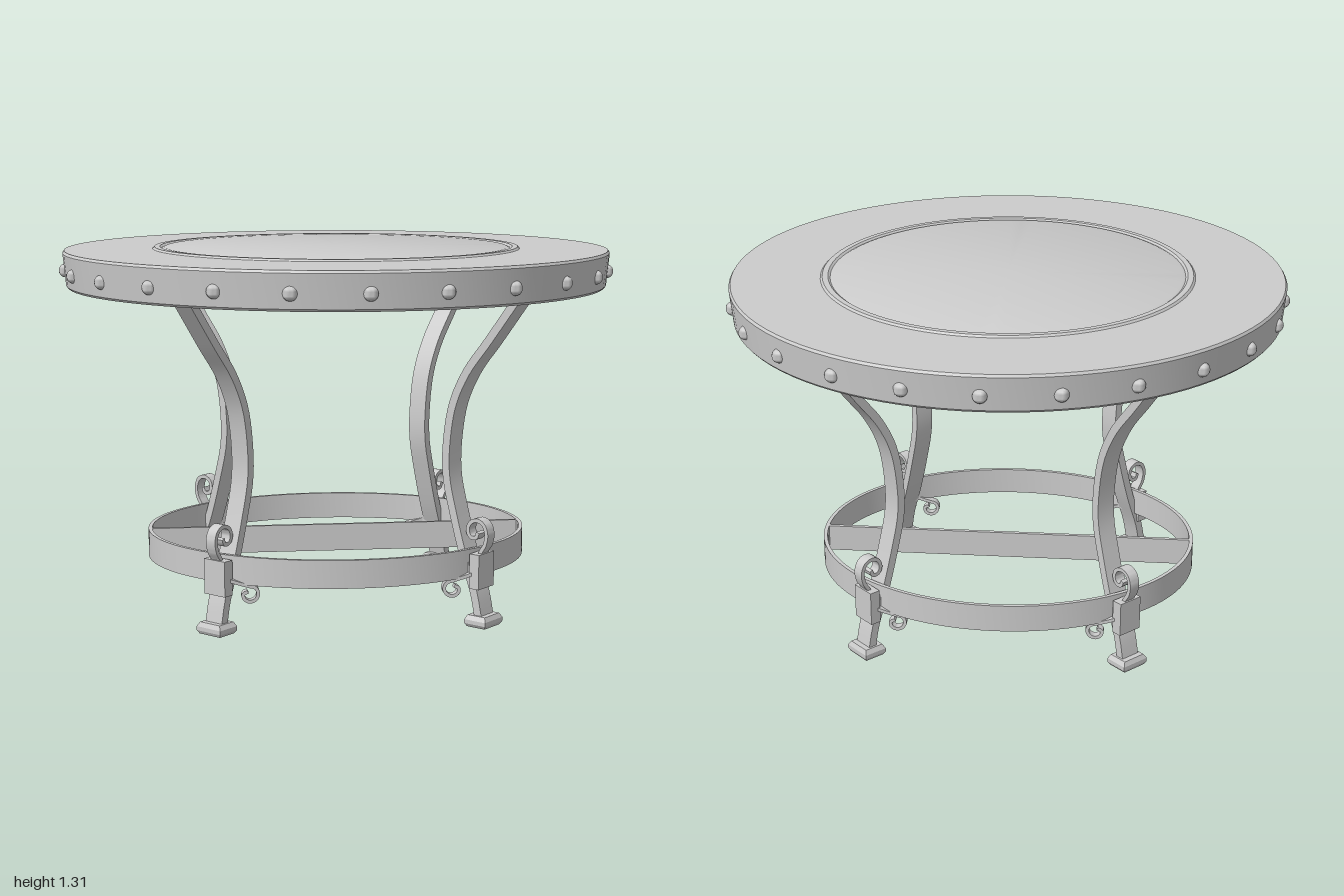
import * as THREE from 'three';
import { toCreasedNormals } from 'three/addons/utils/BufferGeometryUtils.js';

const grey = new THREE.MeshStandardMaterial({ color: 0xcccccc });

function part(name, geometry, parent, crease = 0.6) {
  const mesh = new THREE.Mesh(toCreasedNormals(geometry, crease), grey);
  mesh.name = name;
  parent.add(mesh);
  return mesh;
}

// Flat metal strap bent along a curve in the XY plane, centred on z = 0
function strap(points, thickness, width, steps) {
  const curve = new THREE.CatmullRomCurve3(points.map(([x, y]) => new THREE.Vector3(x, y, 0)));
  const a = [], b = [];
  for (let i = 0; i <= steps; i++) {
    const p = curve.getPointAt(i / steps), t = curve.getTangentAt(i / steps);
    const nx = -t.y * thickness / 2, ny = t.x * thickness / 2;
    a.push(new THREE.Vector2(p.x + nx, p.y + ny));
    b.push(new THREE.Vector2(p.x - nx, p.y - ny));
  }
  const shape = new THREE.Shape([...a, ...b.reverse()]);
  return new THREE.ExtrudeGeometry(shape, { depth: width, bevelEnabled: false }).translate(0, 0, -width / 2);
}

function lathe(profile, segments) {
  return new THREE.LatheGeometry(profile.map(([r, y]) => new THREE.Vector2(r, y)), segments);
}

// Local x points outward from the table centre
function createLeg() {
  const leg = new THREE.Group();
  leg.name = 'leg';
  part('legStrap', strap([[0.668, 0.03], [0.648, 0.12], [0.6, 0.25], [0.555, 0.4], [0.526, 0.52],
    [0.523, 0.62], [0.548, 0.78], [0.605, 0.9], [0.69, 1.01], [0.815, 1.175]], 0.03, 0.075, 40), leg);

  // Bevelled foot pad
  const foot = lathe([[0, 0], [0.6, 0], [0.707, 0.012], [0.707, 0.026], [0.58, 0.042], [0, 0.042]], 4);
  foot.rotateY(Math.PI / 4).scale(0.088, 1, 0.11);
  part('foot', foot, leg, 0.2).position.x = 0.665;

  // Clip that holds the ring to the leg
  part('clip', new THREE.BoxGeometry(0.04, 0.125, 0.095), leg).position.set(0.655, 0.2, 0);

  // Curled end above the clip
  part('scroll', strap([[0.655, 0.2], [0.66, 0.26], [0.68, 0.295], [0.686, 0.335], [0.672, 0.367],
    [0.645, 0.378], [0.617, 0.366], [0.608, 0.338], [0.62, 0.316], [0.642, 0.316], [0.65, 0.335]],
    0.014, 0.042, 44), leg);
  return leg;
}

export function createModel() {
  const table = new THREE.Group();
  table.name = 'roundTable';

  // Round top with a tapered rim and a raised inner circle
  part('tableTop', lathe([[0, 1.17], [0.968, 1.17], [0.975, 1.178], [0.986, 1.293], [0.98, 1.302],
    [0.665, 1.304], [0.658, 1.311], [0.638, 1.311], [0.63, 1.305], [0.62, 1.309], [0, 1.309]], 96), table, 0.4);

  // Domed studs around the rim
  const studs = new THREE.Group();
  studs.name = 'rimStuds';
  table.add(studs);
  for (let i = 0; i < 24; i++) {
    const a = i * Math.PI / 12;
    const stud = part('stud', new THREE.SphereGeometry(0.025, 14, 10), studs, 1);
    stud.position.set(Math.sin(a) * 0.975, 1.228, Math.cos(a) * 0.975);
  }

  // Four legs on the diagonals
  for (let i = 0; i < 4; i++) {
    const leg = createLeg();
    leg.rotation.y = Math.PI / 4 + i * Math.PI / 2;
    table.add(leg);
  }

  // Oval stretcher ring
  const oval = new THREE.Shape().absellipse(0, 0, 0.695, 0.582, 0, Math.PI * 2);
  oval.holes.push(new THREE.Path().absellipse(0, 0, 0.681, 0.568, 0, Math.PI * 2, true));
  const ring = new THREE.ExtrudeGeometry(oval, { depth: 0.1, bevelEnabled: false, curveSegments: 72 });
  part('stretcherRing', ring.rotateX(-Math.PI / 2), table).position.y = 0.175;

  // Cross bar along the long axis of the ring
  part('crossBar', new THREE.BoxGeometry(1.37, 0.1, 0.014), table).position.y = 0.225;

  // Small curls hanging inside the ring beside each leg
  for (const sx of [-1, 1]) for (const sz of [-1, 1]) {
    const points = [[0.44, 0.195], [0.4, 0.182], [0.36, 0.17], [0.335, 0.162], [0.326, 0.14],
      [0.337, 0.12], [0.357, 0.114], [0.375, 0.124], [0.378, 0.142], [0.362, 0.15]];
    const curl = strap(points.map(([x, y]) => [x * sx, y]), 0.012, 0.03, 36);
    part('smallCurl', curl, table).position.z = sz * 0.475;
  }
  return table;
}
